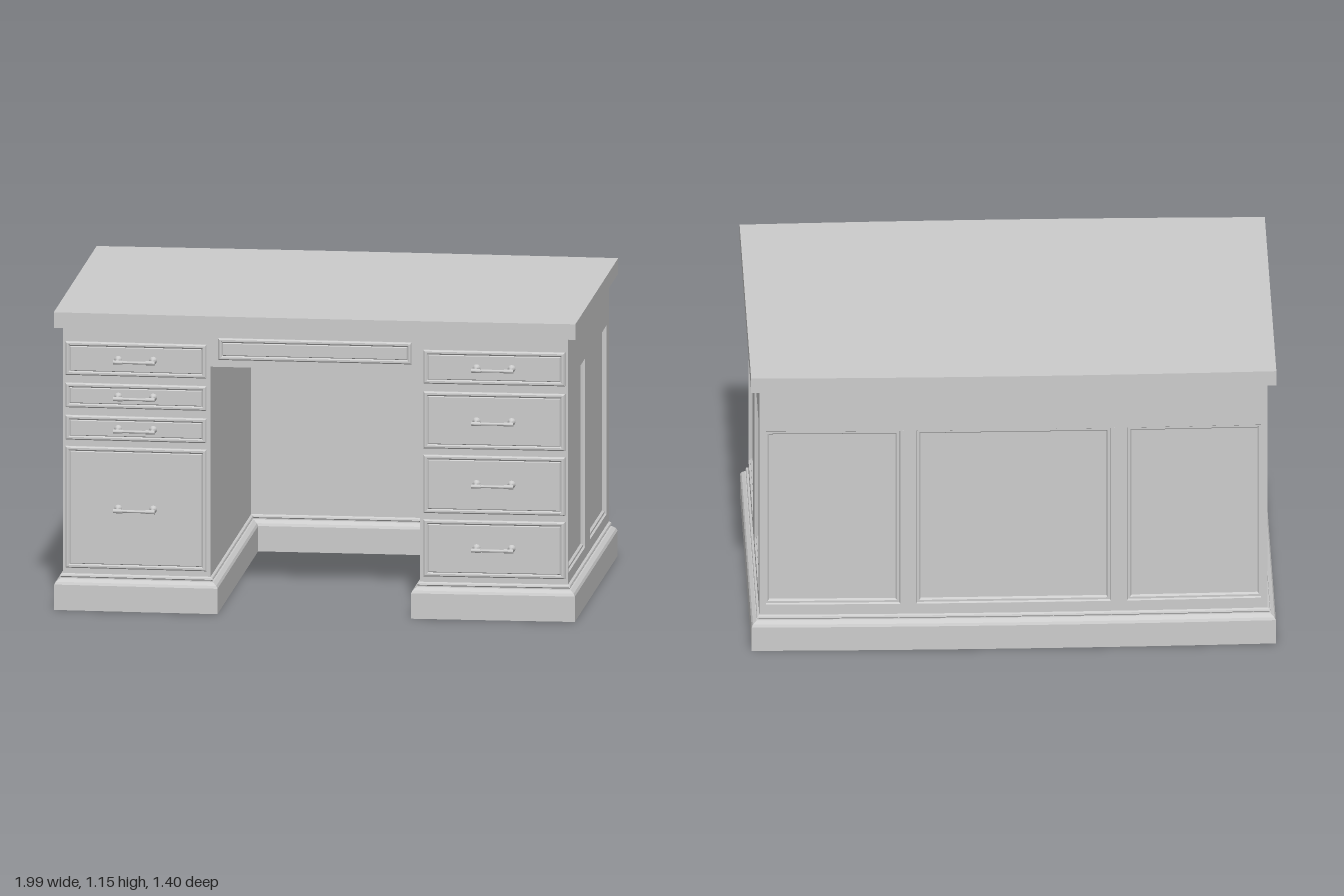
import * as THREE from 'three';

const mat = new THREE.MeshStandardMaterial({ color: 0xcccccc, side: THREE.DoubleSide });
const FRONT = 0.618, BACK = -0.657, SIDE = 0.965, KNEE = 0.40, KNEE_BACK = -0.63;
const FLOOR = 0.1, UNDER_TOP = 1.09;

function add(parent, name, geometry) {
  const mesh = new THREE.Mesh(geometry, mat);
  mesh.name = name;
  parent.add(mesh);
  return mesh;
}

// Box given by its limits, divided along x so that it can follow the bowed front and back
function box(parent, name, x0, x1, y0, y1, z0, z1) {
  const g = new THREE.BoxGeometry(x1 - x0, y1 - y0, z1 - z0, 8, 1, 1);
  g.translate((x0 + x1) / 2, (y0 + y1) / 2, (z0 + z1) / 2);
  return add(parent, name, g);
}

// Flat-faced skin over closed rings of points; optionally joins last ring to first, or caps the last
function loft(rings, { loop = false, cap = false }) {
  const pos = [];
  const tri = (...pts) => pts.forEach(p => pos.push(...p));
  const n = rings[0].length, count = loop ? rings.length : rings.length - 1;
  for (let j = 0; j < count; j++) {
    const lo = rings[j], hi = rings[(j + 1) % rings.length];
    for (let i = 0; i < n; i++) {
      const k = (i + 1) % n;
      tri(lo[i], lo[k], hi[k]);
      tri(lo[i], hi[k], hi[i]);
    }
  }
  if (cap) {
    const r = rings[rings.length - 1];
    for (let i = 1; i < n - 1; i++) tri(r[0], r[i], r[i + 1]);
  }
  const g = new THREE.BufferGeometry();
  g.setAttribute('position', new THREE.Float32BufferAttribute(pos, 3));
  g.computeVertexNormals();
  return g;
}

// Rectangular moulded panel facing +z; profile is a list of [inset, depth]
function mouldedPanel(parent, name, x0, x1, y0, y1, z, profile) {
  const rings = profile.map(([s, d]) => [
    [x0 + s, y0 + s, z + d], [x1 - s, y0 + s, z + d],
    [x1 - s, y1 - s, z + d], [x0 + s, y1 - s, z + d]]);
  return add(parent, name, loft(rings, { cap: true }));
}

// Frame-and-panel wall facing +z with its face at z = 0
function panelledWall(parent, name, u0, u1, panels) {
  const wall = new THREE.Group();
  wall.name = name;
  parent.add(wall);
  const lo = 0.18, hi = 0.91, t = 0.025;
  box(wall, 'bottomRail', u0, u1, FLOOR, lo, -t, 0);
  box(wall, 'topRail', u0, u1, hi, UNDER_TOP, -t, 0);
  const edges = [u0, ...panels.flat(), u1];
  for (let i = 0; i < edges.length; i += 2) box(wall, 'stile', edges[i], edges[i + 1], lo, hi, -t, 0);
  for (const [a, b] of panels)
    mouldedPanel(wall, 'recessedPanel', a, b, lo, hi, 0, [[0, 0], [0.004, -0.007], [0.012, -0.007], [0.018, -0.015]]);
  return wall;
}

// Bar pull on two flared posts
function handle(parent, x, y) {
  const g = new THREE.Group();
  g.name = 'handle';
  g.position.set(x, y, FRONT + 0.012);
  parent.add(g);
  for (const s of [-1, 1]) {
    const post = add(g, 'post', new THREE.LatheGeometry(
      [[0.015, -0.004], [0.015, 0.003], [0.009, 0.01], [0.006, 0.02], [0.006, 0.052]].map(p => new THREE.Vector2(...p)), 12));
    post.rotation.x = Math.PI / 2;
    post.position.x = s * 0.067;
    const end = add(g, 'barEnd', new THREE.CylinderGeometry(0.008, 0.008, 0.036, 12));
    end.rotation.z = Math.PI / 2;
    end.position.set(s * 0.062, 0, 0.054);
  }
  const bar = add(g, 'bar', new THREE.CylinderGeometry(0.0055, 0.0055, 0.12, 12));
  bar.rotation.z = Math.PI / 2;
  bar.position.z = 0.054;
}

// Plinth moulding swept around the U-shaped footprint with square mitres
function plinth(parent) {
  const corners = [[-SIDE, FRONT], [-KNEE, FRONT], [-KNEE, KNEE_BACK], [KNEE, KNEE_BACK],
    [KNEE, FRONT], [SIDE, FRONT], [SIDE, BACK], [-SIDE, BACK]];
  const path = [], STEPS = 8;
  corners.forEach(([x, z], i) => {
    const [x2, z2] = corners[(i + 1) % corners.length];
    const normal = [-Math.sign(z2 - z), Math.sign(x2 - x)];
    const [x0, z0] = corners[(i + corners.length - 1) % corners.length];
    const before = [-Math.sign(z - z0), Math.sign(x - x0)];
    for (let k = 0; k < STEPS; k++) {
      const t = k / STEPS;
      const n = k ? normal : [normal[0] + before[0], normal[1] + before[1]];
      path.push({ x: x + (x2 - x) * t, z: z + (z2 - z) * t, n });
    }
  });
  const profile = [[0.03, 0], [0.03, 0.098], [0.025, 0.108], [0.012, 0.118], [0.006, 0.12],
    [0.006, 0.124], [0.01, 0.128], [0.008, 0.134], [0, 0.138], [-0.004, 0.138], [-0.004, 0]];
  const rings = profile.map(([o, y]) => path.map(p => [p.x + p.n[0] * o, y, p.z + p.n[1] * o]));
  add(parent, 'plinth', loft(rings, { loop: true }));
}

// Bakes transforms and bows front and back outward towards the middle
function bow(group) {
  group.updateMatrixWorld(true);
  group.traverse(o => {
    if (!o.isMesh) return;
    o.geometry.applyMatrix4(o.matrixWorld);
    const p = o.geometry.attributes.position;
    for (let i = 0; i < p.count; i++) {
      const x = p.getX(i), z = p.getZ(i);
      p.setZ(i, z + 0.012 * (1 - x * x) * THREE.MathUtils.clamp(z / 0.62, -1, 1));
    }
    o.geometry.computeVertexNormals();
  });
  group.traverse(o => {
    o.position.set(0, 0, 0);
    o.rotation.set(0, 0, 0);
  });
}

export function createModel() {
  const desk = new THREE.Group();
  desk.name = 'pedestalDesk';

  // Top
  box(desk, 'deskTop', -0.997, 0.997, UNDER_TOP, 1.15, -0.69, 0.647);
  plinth(desk);

  // Outer walls
  const sidePanels = [[-0.595, -0.08], [0.075, 0.585]];
  const right = panelledWall(desk, 'leftSide', -FRONT, -BACK, sidePanels);
  right.rotation.y = Math.PI / 2;
  right.position.x = SIDE;
  const left = panelledWall(desk, 'rightSide', BACK, FRONT, sidePanels.map(([a, b]) => [-b, -a]).reverse());
  left.rotation.y = -Math.PI / 2;
  left.position.x = -SIDE;
  const back = panelledWall(desk, 'backWall', -SIDE, SIDE, [[-0.945, -0.43], [-0.37, 0.37], [0.43, 0.945]]);
  back.rotation.y = Math.PI;
  back.position.z = BACK;

  // Kneehole lining and apron
  box(desk, 'kneeholeBack', -KNEE, KNEE, FLOOR, UNDER_TOP, KNEE_BACK - 0.01, KNEE_BACK);
  box(desk, 'kneeholeCeiling', -KNEE, KNEE, 0.95, 0.96, KNEE_BACK, FRONT - 0.02);
  box(desk, 'apron', -KNEE, KNEE, 0.95, UNDER_TOP, FRONT - 0.02, FRONT);

  // Pedestals: inner wall, face, drawers [bottom, top, handle height]
  const columns = {
    '-1': [[0.905, 1.035, 0.97], [0.78, 0.875, 0.828], [0.655, 0.75, 0.703], [0.16, 0.63, 0.395]],
    '1': [[0.905, 1.035, 0.97], [0.655, 0.875, 0.765], [0.405, 0.63, 0.523], [0.16, 0.38, 0.275]],
  };
  const drawerEdge = [[0, 0], [0, 0.006], [0.005, 0.013], [0.012, 0.013], [0.017, 0.008], [0.02, 0.012]];
  for (const s of [-1, 1]) {
    const span = (a, b) => s > 0 ? [a, b] : [-b, -a];
    const pedestal = new THREE.Group();
    pedestal.name = s > 0 ? 'leftPedestal' : 'rightPedestal';
    desk.add(pedestal);
    box(pedestal, 'innerWall', ...span(KNEE, KNEE + 0.012), FLOOR, UNDER_TOP, KNEE_BACK, FRONT - 0.01);
    box(pedestal, 'face', ...span(KNEE, SIDE - 0.001), FLOOR, UNDER_TOP, FRONT - 0.02, FRONT);
    for (const [y0, y1, hy] of columns[s]) {
      mouldedPanel(pedestal, 'drawerFront', ...span(0.415, 0.955), y0, y1, FRONT, drawerEdge);
      handle(pedestal, s * 0.685, hy);
    }
  }
  mouldedPanel(desk, 'centreDrawer', -0.37, 0.37, 0.978, 1.062, FRONT, drawerEdge);

  bow(desk);
  return desk;
}
